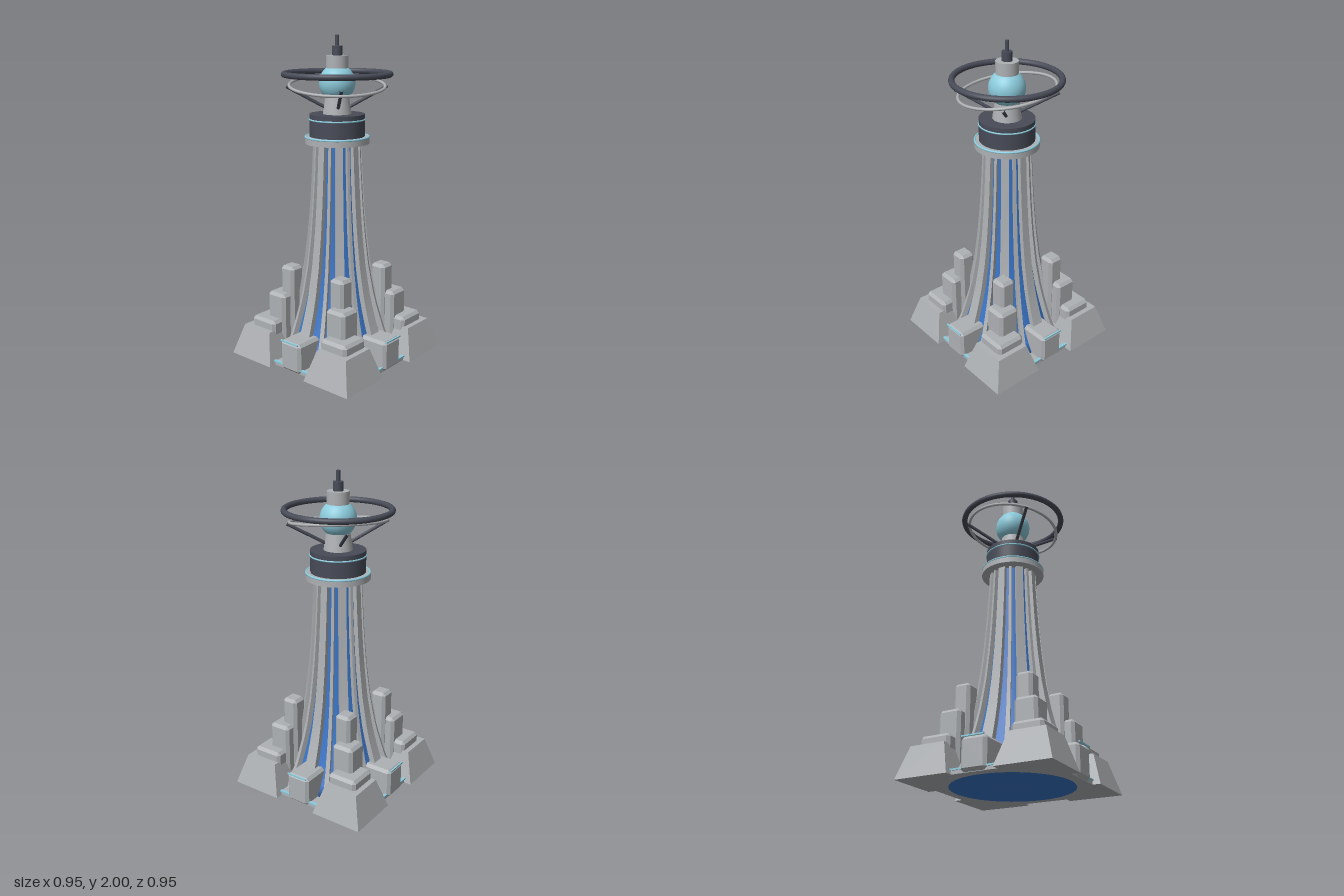
import * as THREE from 'three';
import { ConvexGeometry } from 'three/addons/geometries/ConvexGeometry.js';

const mat = (name, color) => {
  const m = new THREE.MeshStandardMaterial({ color });
  m.name = name;
  return m;
};

// Tower outline: radius of the rib faces at each height
const OUTLINE = [[0, 0.4], [0.1, 0.345], [0.2, 0.305], [0.4, 0.245], [0.6, 0.207],
  [0.8, 0.182], [1.0, 0.165], [1.2, 0.153], [1.37, 0.145]];
function radiusAt(y) {
  let i = 1;
  while (i < OUTLINE.length - 1 && OUTLINE[i][0] < y) i++;
  const [y0, r0] = OUTLINE[i - 1], [y1, r1] = OUTLINE[i];
  return r0 + (r1 - r0) * (y - y0) / (y1 - y0);
}

// Box with all edges cut off at 45 degrees
function chamferBox(w, h, d, c) {
  const pts = [];
  for (const x of [-w / 2, w / 2]) for (const y of [-h / 2, h / 2]) for (const z of [-d / 2, d / 2]) {
    const a = x - Math.sign(x) * c, b = y - Math.sign(y) * c, e = z - Math.sign(z) * c;
    pts.push(new THREE.Vector3(x, b, e), new THREE.Vector3(a, y, e), new THREE.Vector3(a, b, z));
  }
  return new ConvexGeometry(pts);
}

// Curved rib whose width and reach follow the tower outline
function ribGeometry(widthBase, widthSlope) {
  const g = new THREE.BoxGeometry(1, 1, 1, 1, 16, 1);
  const p = g.attributes.position;
  for (let i = 0; i < p.count; i++) {
    const y = 0.01 + (p.getY(i) + 0.5) * 1.36;
    const r = radiusAt(y);
    const half = widthBase + widthSlope * r;
    p.setXYZ(i, 2 * p.getX(i) * half, y, p.getZ(i) > 0 ? r : r - 0.05);
  }
  g.computeVertexNormals();
  return g;
}

// Block with sloping sides
function frustum(bottom, top, h) {
  const g = new THREE.BoxGeometry(2, h, 2);
  const p = g.attributes.position;
  for (let i = 0; i < p.count; i++) {
    const s = p.getY(i) > 0 ? top : bottom;
    p.setXYZ(i, p.getX(i) * s, p.getY(i), p.getZ(i) * s);
  }
  g.computeVertexNormals();
  return g;
}

export function createModel() {
  const stone = mat('stone grey', 0xaeb1b4);
  const blue = mat('window blue', 0x3873c4);
  const cyan = mat('pale cyan', 0x8ccbdc);
  const dark = mat('dark slate', 0x484c58);
  const model = new THREE.Group();

  const add = (name, geo, material, x = 0, y = 0, z = 0, parent = model) => {
    const m = new THREE.Mesh(geo, material);
    m.name = name;
    m.position.set(x, y, z);
    parent.add(m);
    return m;
  };
  // Cylinder given by its bottom and top heights
  const drum = (name, material, rBottom, rTop, y0, y1, sides = 40) =>
    add(name, new THREE.CylinderGeometry(rTop, rBottom, y1 - y0, sides), material, 0, (y0 + y1) / 2, 0);
  const ring = (name, material, r, tube, y) => {
    const m = add(name, new THREE.TorusGeometry(r, tube, 12, 64), material, 0, y, 0);
    m.rotation.x = Math.PI / 2;
    return m;
  };

  // Base plate
  add('basePlate', new THREE.BoxGeometry(0.85, 0.023, 0.85), stone, 0, 0.0135, 0);

  // Stepped corner buttresses
  const pedestal = frustum(0.1675, 0.11, 0.193);
  const tiers = [[0.2875, 0.195, 0.255], [0.242, 0.144, 0.415], [0.202, 0.106, 0.585]]
    .map(([c, w, h]) => [c, h, chamferBox(w, h - 0.05, w, 0.018)]);
  for (const sx of [-1, 1]) for (const sz of [-1, 1]) {
    const corner = new THREE.Group();
    corner.name = 'cornerButtress';
    model.add(corner);
    add('pedestal', pedestal, stone, sx * 0.3075, 0.0985, sz * 0.3075, corner);
    for (const [c, h, geo] of tiers) add('step', geo, stone, sx * c, (h + 0.05) / 2, sz * c, corner);
  }

  // Entrance blocks with light strips on each side
  const porch = chamferBox(0.16, 0.19, 0.22, 0.018);
  for (let i = 0; i < 4; i++) {
    const side = new THREE.Group();
    side.name = 'entrance';
    side.rotation.y = i * Math.PI / 2;
    model.add(side);
    add('entranceBlock', porch, stone, 0, 0.1, 0.335, side);
    add('upperLightStrip', new THREE.BoxGeometry(0.14, 0.009, 0.009), cyan, 0, 0.195, 0.446, side);
    add('lowerLightStrip', new THREE.BoxGeometry(0.296, 0.01, 0.018), cyan, 0, 0.028, 0.422, side);
  }

  // Glazed shaft, closed underneath
  const profile = [new THREE.Vector2(0, 0)];
  for (let i = 0; i <= 16; i++) {
    const y = 1.37 * i / 16;
    profile.push(new THREE.Vector2(radiusAt(y) - 0.022 - 0.015 * (1 - i / 16), y));
  }
  add('glassShaft', new THREE.LatheGeometry(profile, 48), blue);

  // Alternating wide and narrow ribs
  const wide = ribGeometry(0.009, 0.09), narrow = ribGeometry(0.004, 0.03);
  for (let i = 0; i < 16; i++) {
    const rib = add(i % 2 ? 'narrowRib' : 'wideRib', i % 2 ? narrow : wide, stone);
    rib.rotation.y = i * Math.PI / 8;
  }

  // Collar and drum
  drum('collar', stone, 0.197, 0.197, 1.357, 1.4);
  ring('collarLight', cyan, 0.192, 0.007, 1.396);
  drum('drum', dark, 0.168, 0.168, 1.4, 1.535);
  ring('drumLight', cyan, 0.168, 0.005, 1.502);

  // Neck, globe and mast
  drum('neck', stone, 0.088, 0.07, 1.53, 1.65);
  add('globe', new THREE.SphereGeometry(0.11, 40, 24), cyan, 0, 1.72, 0);
  drum('globeCap', stone, 0.067, 0.067, 1.8, 1.882);
  drum('mastBase', dark, 0.031, 0.031, 1.88, 1.937, 24);
  drum('mast', dark, 0.012, 0.012, 1.93, 2, 12);

  // Large level ring and thin tilted ring
  ring('outerRing', dark, 0.318, 0.018, 1.772);
  const tilt = new THREE.Group();
  tilt.name = 'tiltedRing';
  tilt.position.y = 1.705;
  tilt.rotation.set(0.1, 0, -0.1);
  model.add(tilt);
  const inner = add('innerRing', new THREE.TorusGeometry(0.288, 0.009, 10, 64), stone, 0, 0, 0, tilt);
  inner.rotation.x = Math.PI / 2;

  // Diagonal struts
  for (const sx of [-1, 1]) for (const sz of [-1, 1]) {
    const path = new THREE.LineCurve3(
      new THREE.Vector3(sx * 0.045, 1.57, sz * 0.045), new THREE.Vector3(sx * 0.215, 1.7, sz * 0.215));
    add('strut', new THREE.TubeGeometry(path, 1, 0.01, 10), dark);
  }
  return model;
}
